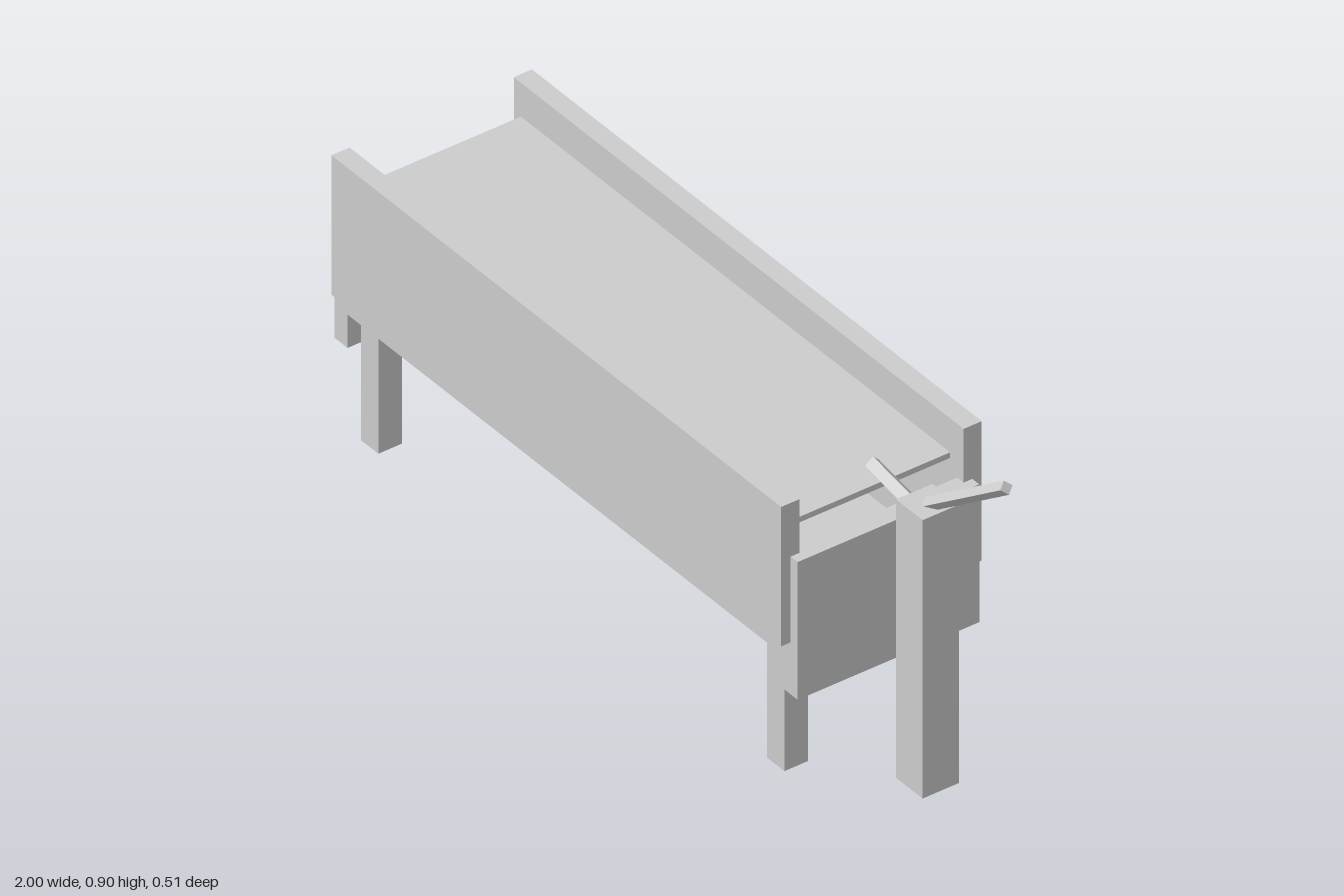
import * as THREE from 'three';

export function createModel() {
  const model = new THREE.Group();
  model.name = 'waterTrough';
  const grey = new THREE.MeshStandardMaterial({ color: 0xcccccc });
  grey.name = 'plainGrey';

  // Box given by its limits on each axis
  function box(name, [x0, x1], [y0, y1], [z0, z1]) {
    const mesh = new THREE.Mesh(new THREE.BoxGeometry(x1 - x0, y1 - y0, z1 - z0), grey);
    mesh.position.set((x0 + x1) / 2, (y0 + y1) / 2, (z0 + z1) / 2);
    mesh.name = name;
    model.add(mesh);
  }

  // Diamond-section bar between two points in the z = 0 plane
  function bar(name, [x0, y0], [x1, y1], radius) {
    const geometry = new THREE.CylinderGeometry(radius, radius, Math.hypot(x1 - x0, y1 - y0), 4).toNonIndexed();
    geometry.computeVertexNormals();
    const mesh = new THREE.Mesh(geometry, grey);
    mesh.position.set((x0 + x1) / 2, (y0 + y1) / 2, 0);
    mesh.rotation.z = Math.atan2(y1 - y0, x1 - x0) - Math.PI / 2;
    mesh.name = name;
    model.add(mesh);
  }

  // Trough walls, floor and water
  box('floor', [-0.955, 0.54], [0.305, 0.35], [-0.23, 0.23]);
  box('leftEnd', [0.54, 0.586], [0.222, 0.566], [-0.23, 0.23]);
  box('rightEnd', [-1, -0.955], [0.222, 0.566], [-0.23, 0.23]);
  box('frontSide', [-0.978, 0.562], [0.352, 0.7], [0.208, 0.254]);
  box('backSide', [-0.978, 0.562], [0.352, 0.7], [-0.254, -0.208]);
  box('water', [-0.943, 0.527], [0.611, 0.625], [-0.2, 0.2]);

  // Four legs
  for (const x of [-0.9, 0.49]) {
    for (const z of [-0.185, 0.185]) {
      box('leg', [x - 0.03, x + 0.03], [0, 0.306], [z - 0.03, z + 0.03]);
    }
  }

  // Pump
  box('pumpPost', [0.674, 0.765], [0, 0.695], [-0.046, 0.046]);
  bar('spout', [0.53, 0.685], [0.7, 0.656], 0.018);
  bar('pumpHandle', [0.72, 0.69], [0.99, 0.885], 0.0155);

  return model;
}
